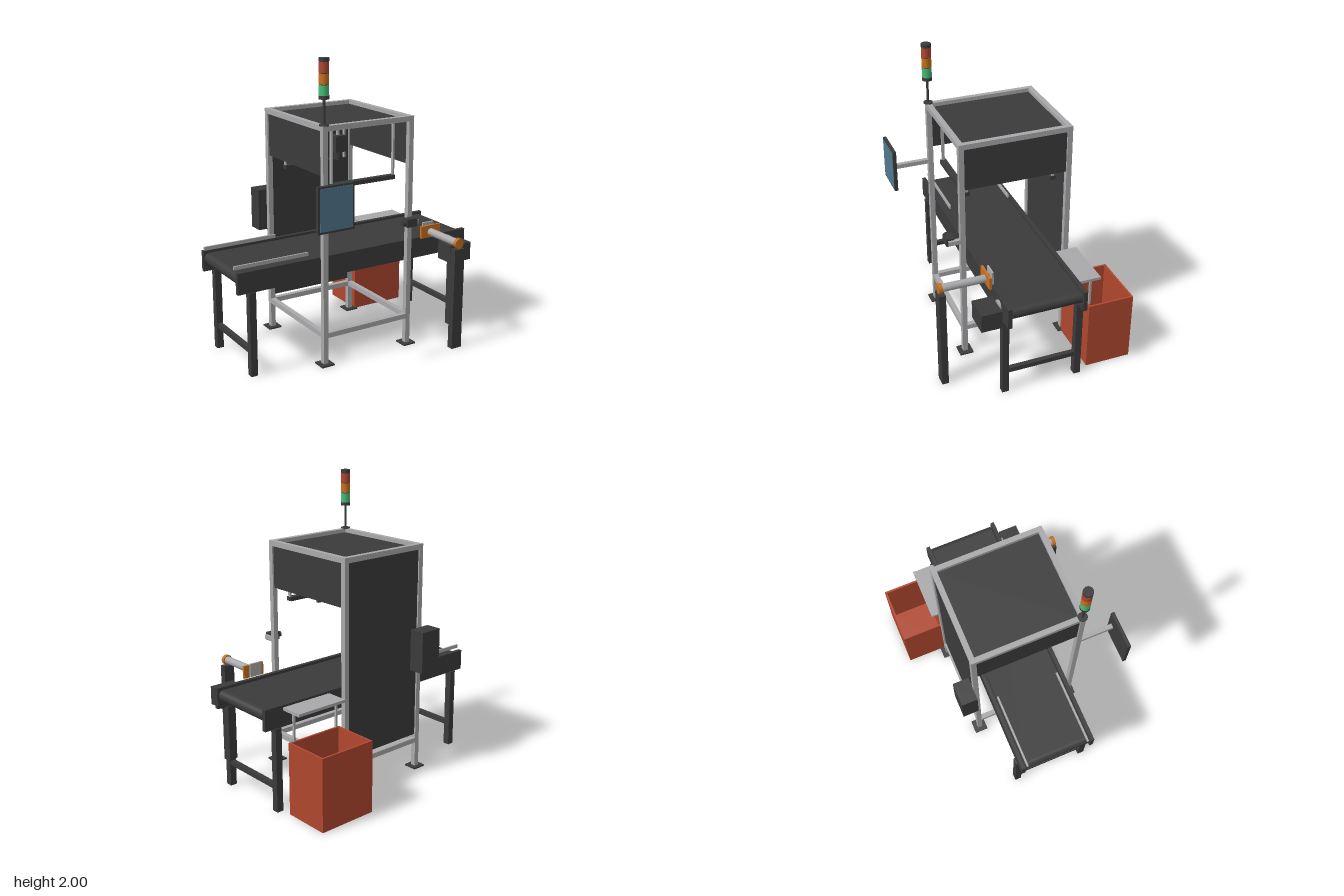
import * as THREE from 'three';

const mat = (name, color) => {
  const m = new THREE.MeshStandardMaterial({ color });
  m.name = name;
  return m;
};

export function createModel() {
  const dark = mat('charcoal', 0x3b3b3c);
  const grey = mat('aluminium', 0xa9a9ab);
  const red = mat('binRed', 0xb0472e);
  const orange = mat('orange', 0xc8711f);
  const green = mat('lampGreen', 0x45bd78);
  const blue = mat('screenBlue', 0x51788f);

  const root = new THREE.Group();
  root.name = 'conveyorInspectionStation';
  const group = (name) => {
    const g = new THREE.Group();
    g.name = name;
    root.add(g);
    return g;
  };
  const add = (parent, name, geo, m) => {
    const mesh = new THREE.Mesh(geo, m);
    mesh.name = name;
    parent.add(mesh);
    return mesh;
  };
  // Box given by its extents on each axis
  const box = (parent, name, m, [x0, x1], [y0, y1], [z0, z1]) => {
    const b = add(parent, name, new THREE.BoxGeometry(x1 - x0, y1 - y0, z1 - z0), m);
    b.position.set((x0 + x1) / 2, (y0 + y1) / 2, (z0 + z1) / 2);
    return b;
  };
  // Cylinder between two positions along one axis, centred on c
  const cyl = (parent, name, m, axis, r, from, to, c) => {
    const b = add(parent, name, new THREE.CylinderGeometry(r, r, to - from, 24), m);
    b.position.set(...c);
    b.position[axis] = (from + to) / 2;
    if (axis === 'z') b.rotation.x = Math.PI / 2;
    if (axis === 'x') b.rotation.z = Math.PI / 2;
    return b;
  };
  const around = (c, w) => [c - w / 2, c + w / 2];

  // Cabinet frame: posts, feet, lower and upper rings
  const frame = group('cabinetFrame');
  const W = 0.035, X = [-0.328, 0.322], Z = [-0.352, 0.376];
  const inX = [X[0] + W / 2, X[1] - W / 2], inZ = [Z[0] + W / 2, Z[1] - W / 2];
  for (const x of X) for (const z of Z) {
    box(frame, 'post', grey, around(x, W), [0.01, 1.586], around(z, W));
    box(frame, 'footPlate', dark, around(x, 0.094), [0, 0.01], around(z, 0.094));
  }
  for (const y of [[0.188, 0.222], [1.551, 1.586]]) {
    for (const z of Z) box(frame, 'crossRail', grey, inX, y, around(z, W));
    for (const x of X) box(frame, 'sideRail', grey, around(x, W), y, inZ);
  }

  // Cabinet panels
  const panels = group('cabinetPanels');
  box(panels, 'roofPanel', dark, inX, [1.545, 1.56], inZ);
  box(panels, 'backPanel', dark, inX, [0.247, 1.262], around(Z[0], 0.014));
  box(panels, 'upperBackPanel', dark, inX, [1.262, 1.548], around(Z[0], 0.018));
  for (const x of X) box(panels, 'sideHood', dark, around(x, 0.014), [1.264, 1.548], inZ);

  // Overhead camera
  const cam = group('overheadCamera');
  cyl(cam, 'cameraRod', grey, 'y', 0.013, 1.42, 1.546, [-0.003, 0, 0.012]);
  box(cam, 'cameraBody', dark, around(-0.003, 0.08), [1.32, 1.43], around(0.012, 0.08));
  cyl(cam, 'cameraLens', dark, 'y', 0.029, 1.267, 1.32, [-0.003, 0, 0.012]);

  // Two light bars hung across the cabinet
  const lights = group('lightBars');
  for (const z of [-0.285, 0.313]) {
    box(lights, 'lightBar', dark, [-0.245, 0.24], [1.166, 1.194], around(z, 0.042));
    for (const x of [-0.238, 0.233])
      box(lights, 'lightHanger', grey, around(x, 0.012), [1.194, 1.546], around(z, 0.02));
  }

  // Conveyor: side beams, belt loop with round ends, legs
  const conveyor = group('conveyor');
  for (const z of [-0.241, 0.268])
    box(conveyor, 'sideBeam', dark, [-0.894, 0.886], [0.565, 0.706], around(z, 0.027));
  const r = 0.038, e = 0.848;
  const belt = new THREE.Shape();
  belt.absarc(e, 0, r, -Math.PI / 2, Math.PI / 2, false);
  belt.absarc(-e, 0, r, Math.PI / 2, Math.PI * 1.5, false);
  const beltMesh = add(conveyor, 'belt',
    new THREE.ExtrudeGeometry(belt, { depth: 0.466, bevelEnabled: false, curveSegments: 12 }), dark);
  beltMesh.position.set(-0.004, 0.653, -0.221);
  for (const x of [-0.797, 0.791]) {
    for (const z of [-0.241, 0.268])
      box(conveyor, 'conveyorLeg', dark, around(x, 0.046), [0, 0.566], around(z, 0.046));
    box(conveyor, 'legBrace', dark, around(x, 0.032), [0.148, 0.18], [-0.22, 0.247]);
  }
  for (const z of [-0.212, 0.232])
    box(conveyor, 'guideRail', grey, [-0.894, -0.367], [0.716, 0.74], around(z, 0.012));

  // Drive motor beside the outfeed end
  const motor = group('driveMotor');
  box(motor, 'motorBox', dark, [0.646, 0.82], [0.533, 0.658], [0.295, 0.432]);
  cyl(motor, 'motorFlange', grey, 'z', 0.035, 0.28, 0.296, [0.735, 0.648, 0]);

  // Pneumatic pusher on its own post
  const pusher = group('pusher');
  const px = 0.563, py = 0.742;
  box(pusher, 'pusherPost', dark, around(px, 0.079), [0, 0.705], [0.585, 0.63]);
  box(pusher, 'mountPlate', orange, [0.484, 0.642], [0.704, 0.79], [0.296, 0.312]);
  cyl(pusher, 'cylinderBarrel', grey, 'z', 0.026, 0.312, 0.6, [px, py, 0]);
  cyl(pusher, 'endCap', orange, 'z', 0.034, 0.6, 0.625, [px, py, 0]);
  cyl(pusher, 'frontCollar', dark, 'z', 0.026, 0.283, 0.297, [px, py, 0]);
  box(pusher, 'pusherPlate', grey, around(px, 0.09), [0.715, 0.805], [0.27, 0.283]);

  // Reject chute and open bin
  const reject = group('rejectStation');
  box(reject, 'chute', grey, [0.374, 0.748], [0.673, 0.692], [-0.412, -0.256]);
  for (const x of [0.393, 0.735])
    box(reject, 'chuteSupport', grey, around(x, 0.014), [0.49, 0.674], around(-0.345, 0.014));
  const bx = [0.361, 0.768], bz = [-0.651, -0.331], t = 0.014, by = [0, 0.487];
  box(reject, 'binFloor', red, bx, [0, t], bz);
  box(reject, 'binLeftWall', red, [bx[1] - t, bx[1]], by, bz);
  box(reject, 'binRightWall', red, [bx[0], bx[0] + t], by, bz);
  box(reject, 'binBackWall', red, [bx[0] + t, bx[1] - t], by, [bz[0], bz[0] + t]);
  box(reject, 'binFrontWall', red, [bx[0] + t, bx[1] - t], by, [bz[1] - t, bz[1]]);

  // Operator monitor on an arm
  const monitor = group('operatorMonitor');
  box(monitor, 'monitorArm', grey, around(-0.328, 0.03), [1.143, 1.172], [0.393, 0.627]);
  box(monitor, 'monitorCase', dark, [-0.535, -0.281], [0.994, 1.286], [0.625, 0.648]);
  box(monitor, 'monitorScreen', blue, [-0.522, -0.293], [1.008, 1.274], [0.647, 0.651]);

  // Control box on the back
  box(group('controlCabinet'), 'controlBox', dark, [-0.408, -0.247], [0.732, 1.018], [-0.48, -0.369]);

  // Side sensor on the front post
  const sensor = group('sideSensor');
  box(sensor, 'sensorBracket', grey, [0.307, 0.336], [0.88, 0.909], [0.393, 0.47]);
  box(sensor, 'sensorBody', dark, [0.24, 0.318], [0.868, 0.922], [0.428, 0.482]);
  cyl(sensor, 'sensorLens', dark, 'x', 0.019, 0.215, 0.241, [0, 0.895, 0.455]);

  // Signal tower
  const tower = group('signalTower');
  const ring = (name, m, rad, y0, y1) => cyl(tower, name, m, 'y', rad, y0, y1, [X[0], 0, Z[1]]);
  ring('towerFoot', dark, 0.031, 1.586, 1.594);
  ring('towerPole', dark, 0.008, 1.594, 1.75);
  ring('towerBase', dark, 0.033, 1.75, 1.772);
  [['greenLamp', green], ['orangeLamp', orange], ['redLamp', red]].forEach(([name, m], i) => {
    const y = 1.772 + i * 0.069;
    ring(name, m, 0.032, y, y + 0.065);
    ring('lampDivider', dark, 0.03, y + 0.065, y + 0.069);
  });
  ring('towerCap', dark, 0.033, 1.979, 2.0);

  return root;
}
